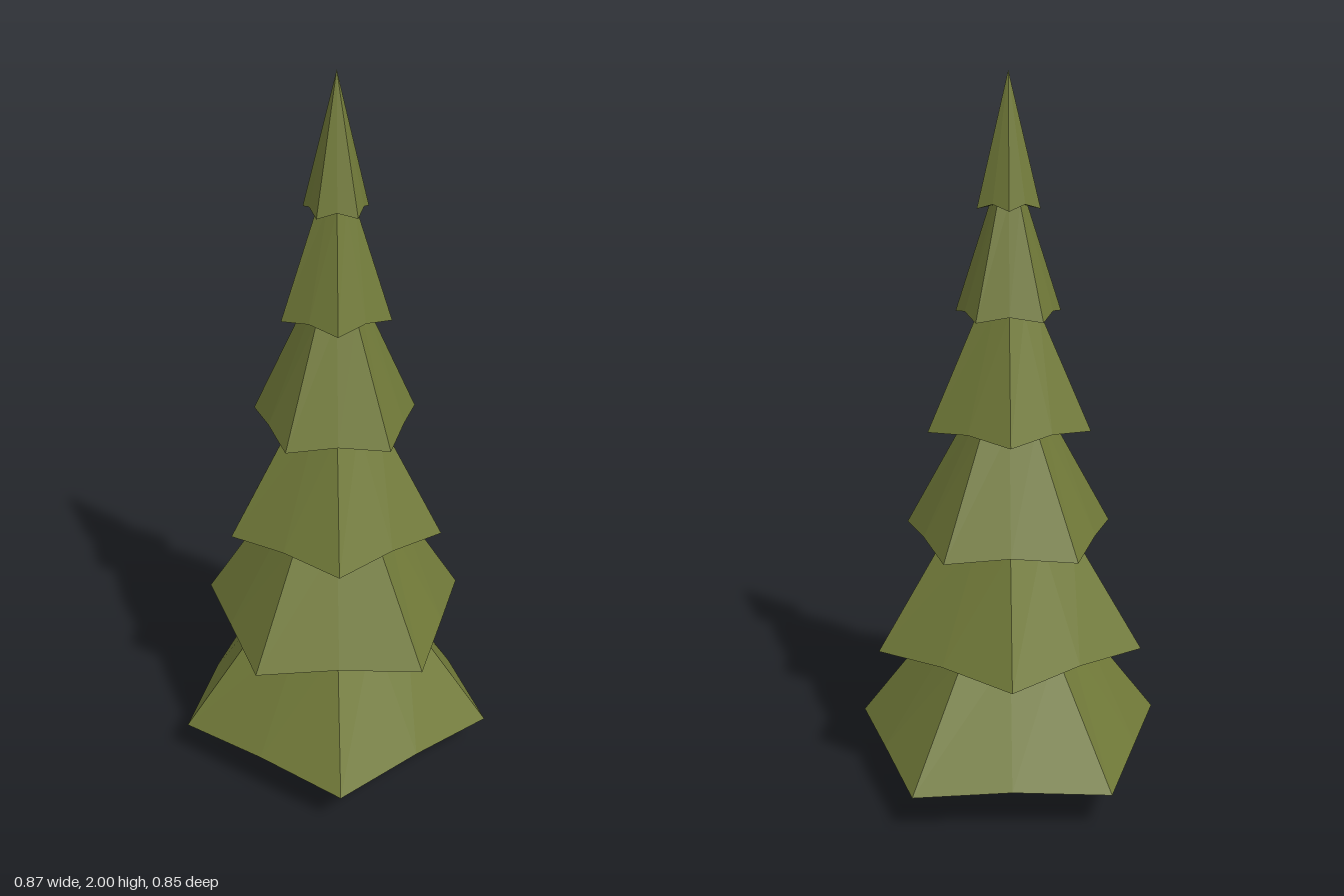
import * as THREE from 'three';

const AXIS_Z = 0.033; // the tree's axis sits slightly forward of centre
const DROOP = 0.015; // corners hang this far below the edge midpoints

// A five-cornered skirt of branches, closed underneath
function makeTier(y, radius, topY, topRadius, turn) {
  const positions = [];
  const tri = (...pts) => pts.forEach((p) => positions.push(p.x, p.y, p.z));
  const ring = (r, midRatio, cornerY, midY) =>
    Array.from({ length: 10 }, (_, i) => {
      const a = turn + (i * Math.PI) / 5;
      const d = i % 2 ? r * midRatio : r;
      return new THREE.Vector3(Math.sin(a) * d, i % 2 ? midY : cornerY, Math.cos(a) * d);
    });

  const low = ring(radius, 0.82, y, y + DROOP);
  const high = ring(topRadius, 0.81, topY, topY);
  const centre = new THREE.Vector3(0, y + DROOP, 0);
  for (let i = 0; i < 10; i++) {
    const j = (i + 1) % 10;
    tri(low[i], low[j], high[j]);
    if (topRadius > 0) tri(low[i], high[j], high[i]);
    tri(centre, low[j], low[i]);
  }
  const geometry = new THREE.BufferGeometry();
  geometry.setAttribute('position', new THREE.Float32BufferAttribute(positions, 3));
  geometry.computeVertexNormals();
  return geometry;
}

export function createModel() {
  const tree = new THREE.Group();
  tree.name = 'pineTree';
  const leaf = new THREE.MeshStandardMaterial({ color: 0x717a39, flatShading: true });
  const bark = new THREE.MeshStandardMaterial({ color: 0x5c3720, flatShading: true });

  // Trunk
  const trunk = new THREE.Mesh(new THREE.CylinderGeometry(0.073, 0.073, 0.14, 10), bark);
  trunk.name = 'trunk';
  trunk.position.set(0, 0.07, AXIS_Z);
  tree.add(trunk);

  // Branch tiers: bottom height, bottom radius, top height, top radius
  const tiers = [
    [0.115, 0.46, 0.445, 0.213],
    [0.43, 0.387, 0.755, 0.185],
    [0.74, 0.305, 1.07, 0.122],
    [1.055, 0.233, 1.38, 0.085],
    [1.365, 0.151, 1.665, 0.05],
    [1.65, 0.088, 2, 0],
  ];
  tiers.forEach((t, i) => {
    // Every other tier is turned so its corners fall between those below
    const tier = new THREE.Mesh(makeTier(...t, i % 2 ? 0 : Math.PI), leaf);
    tier.name = `branchTier${i + 1}`;
    tier.position.z = AXIS_Z;
    tree.add(tier);
  });
  return tree;
}
